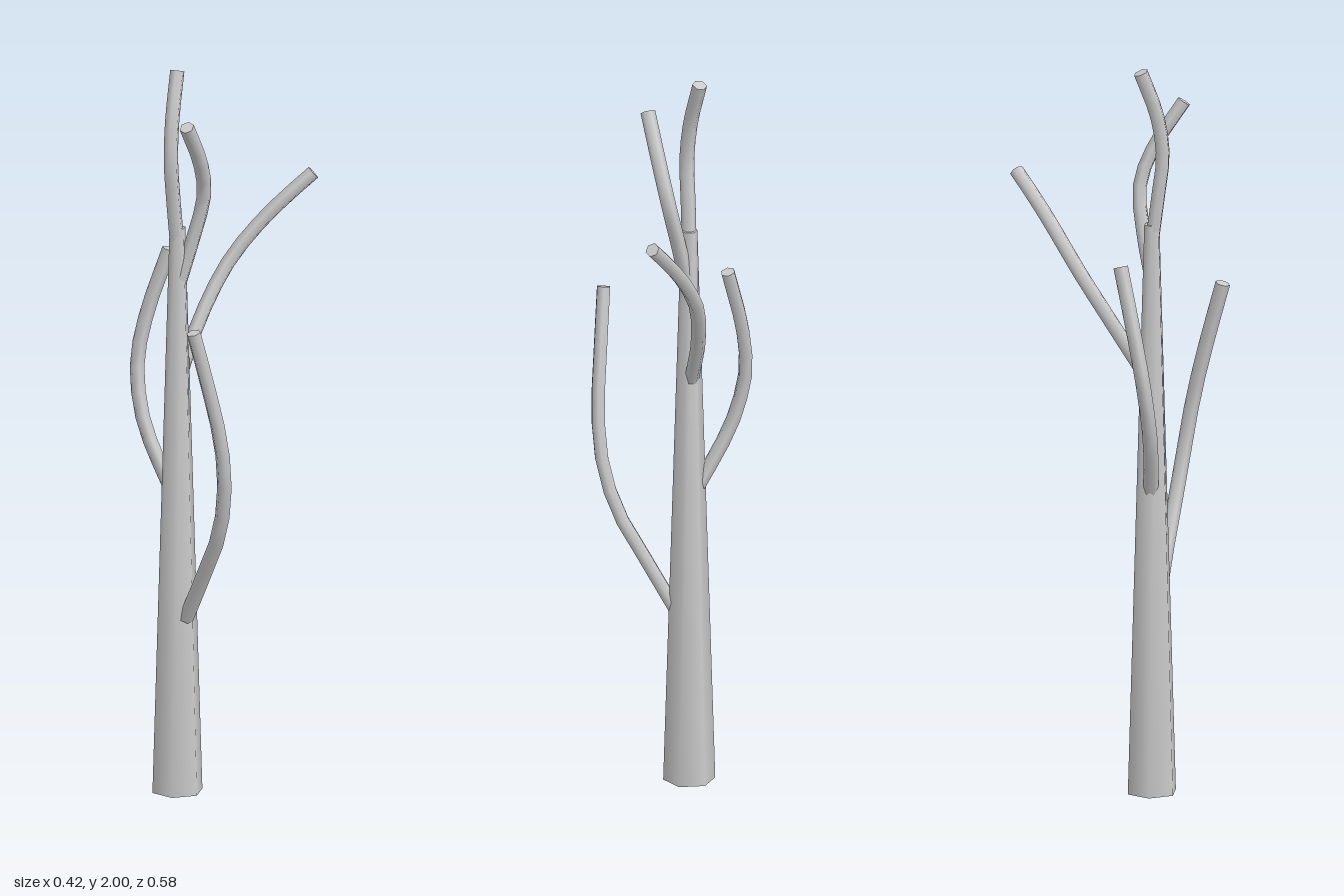
import * as THREE from 'three';

const SIDES = 6;

// Curved branch: a six-sided tube through a few points, closed at its tip
function makeBranch(name, points, radius, material) {
  const curve = new THREE.CatmullRomCurve3(points.map(p => new THREE.Vector3(...p)));
  const segments = 10;
  const tube = new THREE.TubeGeometry(curve, segments, radius, SIDES, false);
  const group = new THREE.Group();
  group.name = name;
  group.add(new THREE.Mesh(tube, material));

  // Tip cap: a fan over the last ring of the tube
  const ring = [];
  for (let i = 0; i < SIDES; i++) {
    ring.push(new THREE.Vector3().fromBufferAttribute(tube.attributes.position, segments * (SIDES + 1) + i));
  }
  const faces = [];
  for (let i = 1; i < SIDES - 1; i++) faces.push(ring[0], ring[i], ring[i + 1]);
  const cap = new THREE.BufferGeometry().setFromPoints(faces);
  cap.computeVertexNormals();
  const tip = new THREE.Mesh(cap, material);
  tip.name = name + 'Tip';
  group.add(tip);
  return group;
}

export function createModel() {
  const material = new THREE.MeshStandardMaterial({ color: 0xcccccc, side: THREE.DoubleSide });
  const model = new THREE.Group();
  model.name = 'bareTree';

  // Tapered hexagonal trunk with corners on the x axis
  const height = 1.57;
  const trunkGeometry = new THREE.CylinderGeometry(0.022, 0.07, height, SIDES);
  trunkGeometry.rotateY(Math.PI / 6);
  const trunk = new THREE.Mesh(trunkGeometry, material);
  trunk.name = 'trunk';
  trunk.position.set(-0.045, height / 2, 0.105);
  model.add(trunk);

  // Branches, from trunk to tip
  const branches = {
    lowerLeftBranch: [[-0.005, 0.49, 0.115], [0.075, 0.635, 0.13], [0.145, 0.765, 0.148],
      [0.182, 0.9, 0.168], [0.19, 1.03, 0.19], [0.18, 1.18, 0.225], [0.165, 1.355, 0.272]],
    lowerRightBranch: [[-0.07, 0.84, 0.105], [-0.11, 0.91, 0.11], [-0.16, 1.01, 0.113],
      [-0.195, 1.155, 0.1], [-0.185, 1.29, 0.075], [-0.14, 1.475, 0.032]],
    backBranch: [[-0.05, 1.15, 0.09], [-0.057, 1.295, 0], [-0.04, 1.43, -0.09],
      [0.005, 1.53, -0.16], [0.05, 1.6, -0.215], [0.1, 1.668, -0.275]],
    upperLeftBranch: [[-0.04, 1.41, 0.105], [-0.015, 1.53, 0.08], [0.015, 1.66, 0.066],
      [0.035, 1.76, 0.1], [0.057, 1.885, 0.18]],
    leader: [[-0.045, 1.54, 0.108], [-0.044, 1.65, 0.122], [-0.042, 1.76, 0.134],
      [-0.05, 1.87, 0.12], [-0.07, 1.995, 0.078]],
  };
  for (const [name, points] of Object.entries(branches)) {
    model.add(makeBranch(name, points, 0.02, material));
  }
  return model;
}
